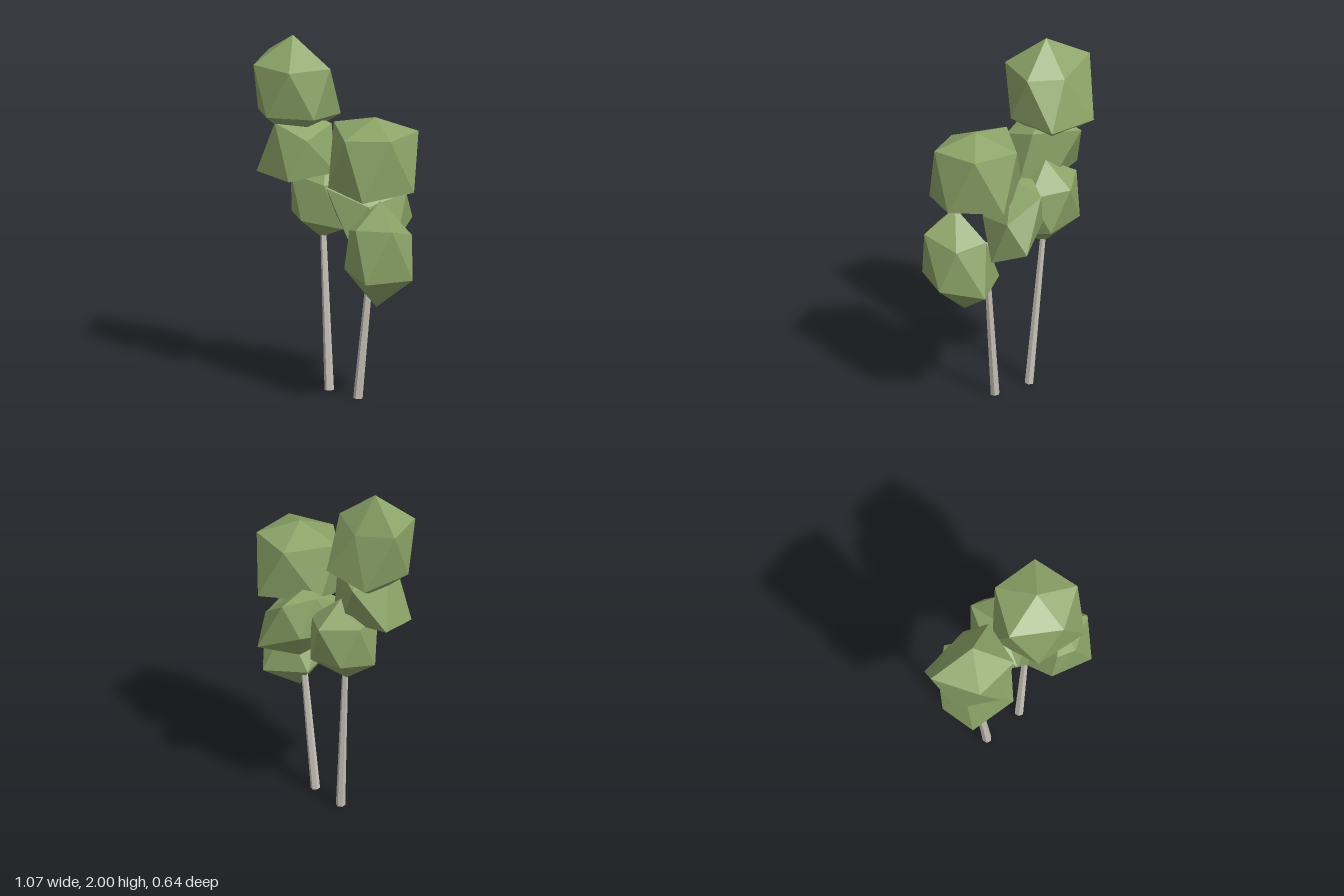
import * as THREE from 'three';

const foliage = new THREE.MeshStandardMaterial({ color: 0x8ca468 });
foliage.name = 'leafGreen';
foliage.flatShading = true;
const bark = new THREE.MeshStandardMaterial({ color: 0xc6c2b8 });
bark.name = 'paleBark';
bark.flatShading = true;

const vec = (p) => new THREE.Vector3(...p);

// Icosahedron skewed so that one of its faces has the corners a, b, c (relative to the centre).
// cap flattens the two poles along a; taper narrows it towards the top;
// each point in nudges pulls the nearest corner onto it, for an irregular shape.
function clump(name, centre, a, b, c, { cap = 1, taper = 0, nudges = [] } = {}) {
  const geo = new THREE.IcosahedronGeometry(1, 0);
  const pos = geo.attributes.position;
  const corners = Array.from({ length: pos.count }, (_, i) => new THREE.Vector3().fromBufferAttribute(pos, i));
  const pole = corners[0].clone();
  const from = new THREE.Matrix4().makeBasis(corners[0], corners[1], corners[2]);
  let to = new THREE.Matrix4().makeBasis(vec(a), vec(b), vec(c));
  // keep the winding outward
  if (from.determinant() * to.determinant() < 0) to = new THREE.Matrix4().makeBasis(vec(a), vec(c), vec(b));
  to.multiply(from.invert());
  for (const p of corners) {
    if (Math.abs(p.dot(pole)) > 0.9) p.multiplyScalar(cap);
    p.applyMatrix4(to);
    const width = 1 - taper * p.y;
    p.set(p.x * width, p.y, p.z * width);
  }
  for (const nudge of nudges) {
    const target = vec(nudge).sub(vec(centre));
    const nearest = Math.min(...corners.map((p) => p.distanceTo(target)));
    const old = corners.find((p) => p.distanceTo(target) === nearest).clone();
    corners.filter((p) => p.distanceTo(old) < 1e-4).forEach((p) => p.copy(target));
  }
  corners.forEach((p, i) => pos.setXYZ(i, p.x, p.y, p.z));
  geo.computeVertexNormals();
  const mesh = new THREE.Mesh(geo, foliage);
  mesh.name = name;
  mesh.position.set(...centre);
  return mesh;
}

// Thin tapered stem between two points
function trunk(name, base, top) {
  const start = vec(base), dir = vec(top).sub(start);
  const geo = new THREE.CylinderGeometry(0.016, 0.026, dir.length(), 6);
  geo.translate(0, dir.length() / 2, 0);
  const mesh = new THREE.Mesh(geo, bark);
  mesh.name = name;
  mesh.position.copy(start);
  mesh.quaternion.setFromUnitVectors(new THREE.Vector3(0, 1, 0), dir.normalize());
  return mesh;
}

export function createModel() {
  const tree = new THREE.Group();
  tree.name = 'twinTrunkTree';
  tree.add(
    // stems
    trunk('rightTrunk', [-0.095, 0.003, -0.06], [-0.167, 0.95, -0.11]),
    trunk('leftTrunk', [0.13, 0.003, 0.006], [0.228, 0.95, 0]),
    // right stack, top to bottom
    clump('rightTopFoliage', [-0.31, 1.697, -0.035], [0.004, 0.303, 0.013], [0.105, 0.14, 0.22], [0.225, 0.13, -0.02],
      { nudges: [[-0.538, 1.86, -0.148], [-0.277, 1.8, -0.17], [-0.11, 1.54, -0.206], [-0.418, 1.53, -0.264], [-0.513, 1.56, 0.007]] }),
    clump('rightMiddleFoliage', [-0.26, 1.37, -0.01], [-0.02, -0.326, 0.03], [0.045, -0.15, 0.17], [-0.19, -0.142, 0.085],
      { cap: 0.58, taper: 0.9, nudges: [[-0.394, 1.495, -0.02], [-0.336, 1.527, 0.12], [-0.13, 1.45, 0.12], [-0.04, 1.25, -0.04], [-0.323, 1.5, -0.25]] }),
    clump('rightLowerFoliage', [-0.165, 1.1, -0.12], [-0.01, -0.25, 0.01], [0.13, -0.12, -0.135], [0.173, -0.14, 0.085],
      { nudges: [[0.008, 0.935, -0.03], [-0.357, 0.98, -0.09]] }),
    // left stack, top to bottom
    clump('leftTopFoliage', [0.255, 1.385, 0.04], [0.01, 0.347, 0], [-0.265, 0.17, -0.005], [-0.058, 0.14, 0.215],
      { cap: 0.69, nudges: [[-0.01, 1.56, 0.03], [0.2, 1.54, -0.195], [0.458, 1.543, -0.097], [0.45, 1.54, 0.185],
        [0.34, 1.2, 0.3], [0.355, 1.23, -0.22], [0.047, 1.225, 0.183], [0.516, 1.23, 0.045]] }),
    clump('leftBackFoliage', [0.125, 1.09, -0.11], [0.145, -0.1, -0.2], [0.015, 0.17, -0.19], [0.185, 0.055, -0.1],
      { nudges: [[0, 1.3, -0.15], [-0.08, 1.067, -0.05], [0.156, 0.876, -0.1], [0.28, 0.98, -0.322], [0.124, 1.275, -0.304]] }),
    clump('leftLowerFoliage', [0.33, 0.87, 0.11], [-0.023, -0.308, -0.015], [-0.17, -0.11, 0.11], [0.04, -0.125, 0.188],
      { taper: 1, nudges: [[0.161, 0.784, 0.2], [0.534, 0.743, 0.088], [0.375, 0.745, 0.323], [0.488, 1.04, 0.226], [0.2, 1.01, 0.21]] })
  );
  return tree;
}
